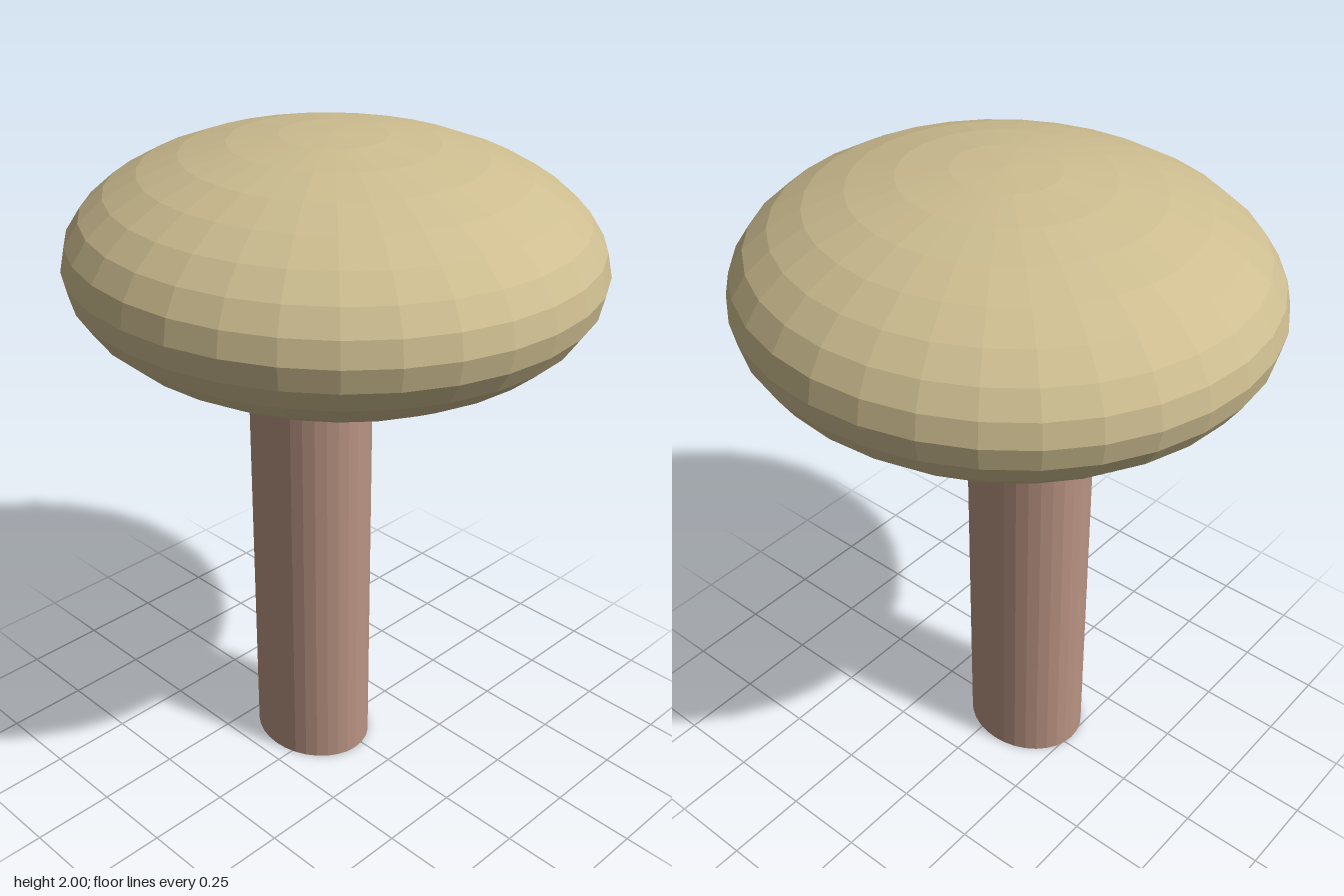
import * as THREE from 'three';

function addPart(group, name, geometry, color, scale, position) {
  const material = new THREE.MeshStandardMaterial({ color, flatShading: true });
  const mesh = new THREE.Mesh(geometry, material);
  mesh.name = name;
  mesh.scale.set(...scale);
  mesh.position.set(...position);
  group.add(mesh);
}

export function createModel() {
  const group = new THREE.Group();
  group.name = 'mushroom';

  // Flattened faceted cap, slightly wider than deep
  addPart(group, 'cap', new THREE.SphereGeometry(1, 32, 16), 0xcdbd90,
    [0.77, 0.348, 0.735], [0, 1.652, 0]);

  // Off-centre oval stem, its top end buried in the cap
  const height = 1.4;
  addPart(group, 'stem', new THREE.CylinderGeometry(1, 1, 1, 32), 0xb99382,
    [0.196, height, 0.167], [-0.064, height / 2, 0.032]);

  return group;
}
